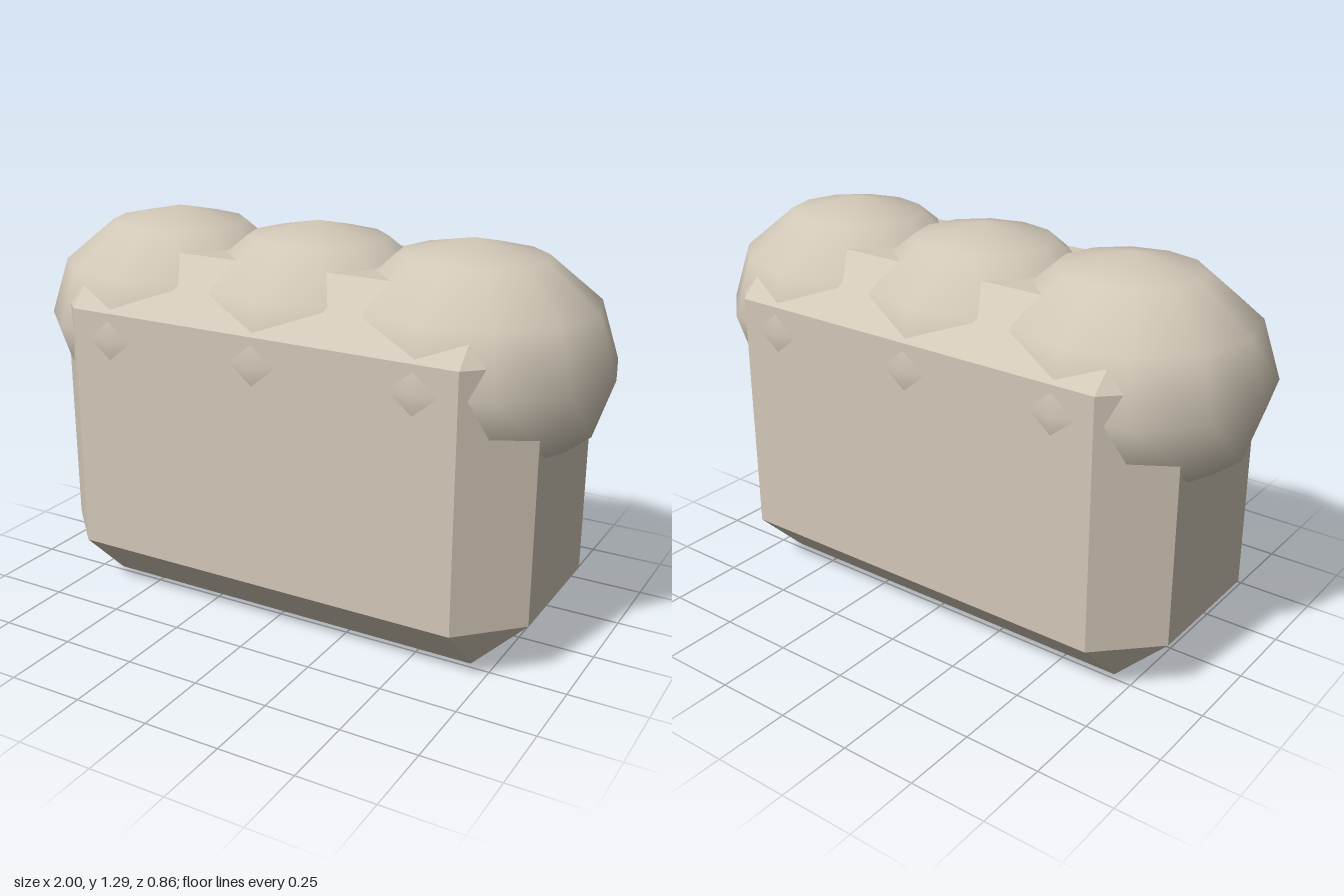
import * as THREE from 'three';
import { ConvexGeometry } from 'three/addons/geometries/ConvexGeometry.js';

// Box standing on y = 0 with every edge cut at 45 degrees
function chamferedBox(hx, height, hz, cut) {
  const points = [];
  const hy = height / 2;
  for (const x of [-1, 1]) for (const y of [-1, 1]) for (const z of [-1, 1]) {
    const add = (a, b, c) => points.push(new THREE.Vector3(x * a, hy + y * b, z * c));
    add(hx, hy - cut, hz - cut);
    add(hx - cut, hy, hz - cut);
    add(hx - cut, hy - cut, hz);
  }
  return new ConvexGeometry(points);
}

export function createModel() {
  const group = new THREE.Group();
  const cream = new THREE.MeshStandardMaterial({ color: 0xd2c8b8 });
  cream.name = 'cream';

  // Loaf body
  const body = new THREE.Mesh(chamferedBox(0.86, 1.185, 0.41, 0.18), cream);
  body.name = 'loafBody';
  group.add(body);

  // Three puffed domes along the top
  const domeGeometry = new THREE.SphereGeometry(1, 12, 6).scale(0.461, 0.375, 0.43);
  ['rightDome', 'middleDome', 'leftDome'].forEach((name, i) => {
    const dome = new THREE.Mesh(domeGeometry, cream);
    dome.name = name;
    dome.position.set((i - 1) * 0.539, 0.915, 0);
    group.add(dome);
  });

  return group;
}
